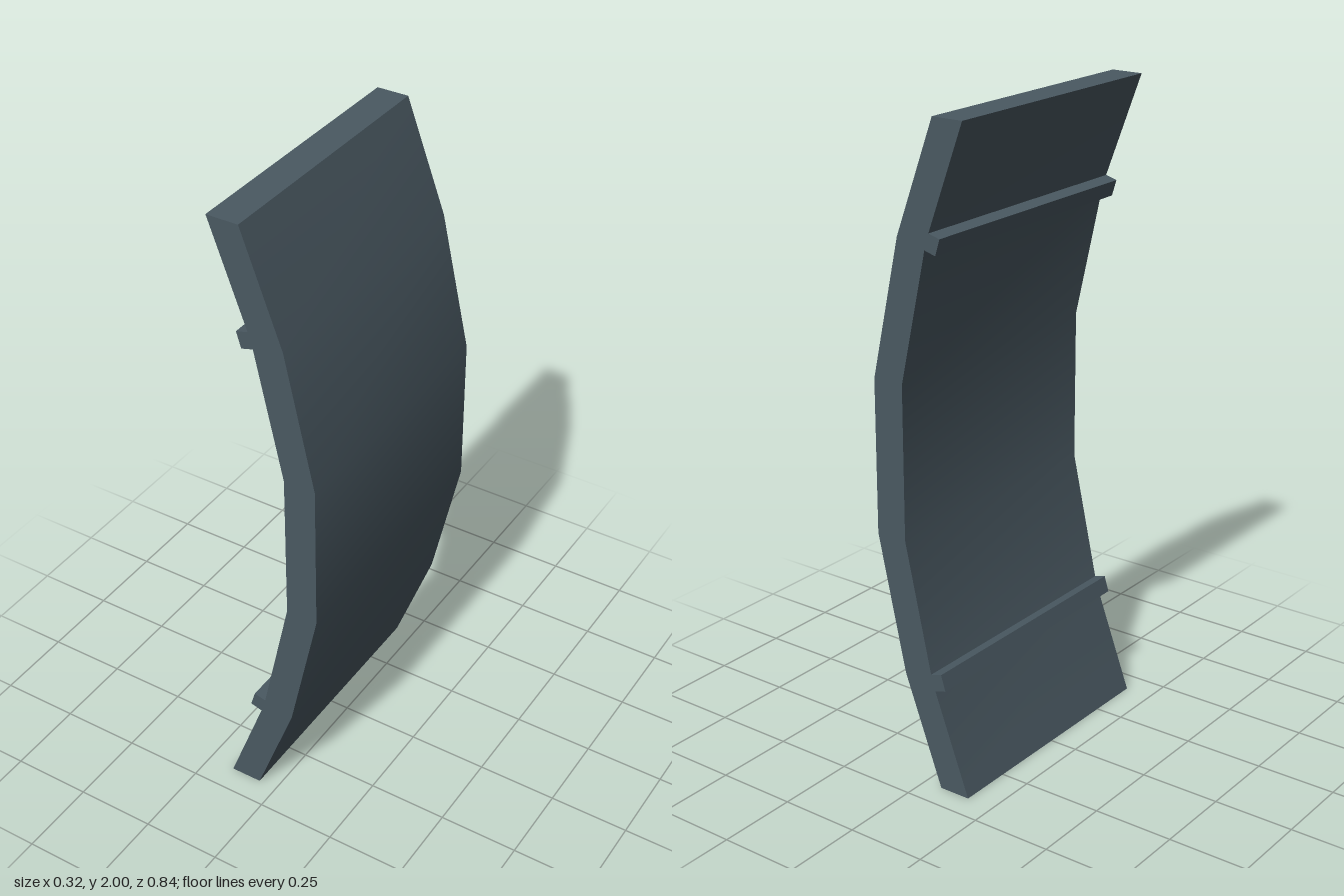
import * as THREE from 'three';
import { toCreasedNormals } from 'three/addons/utils/BufferGeometryUtils.js';

const WIDTH = 0.84;

// Extrude an x/y outline across the full panel width, centred on z
function extrudeOutline(points, crease) {
  const shape = new THREE.Shape(points.map(([x, y]) => new THREE.Vector2(x, y)));
  const geometry = new THREE.ExtrudeGeometry(shape, { depth: WIDTH, bevelEnabled: false });
  geometry.translate(0, 0, -WIDTH / 2);
  return toCreasedNormals(geometry, crease);
}

export function createModel() {
  const model = new THREE.Group();
  model.name = 'curvedPanel';
  const slate = new THREE.MeshStandardMaterial({ color: 0x4a5962 });
  slate.name = 'slate grey';

  const add = (name, points, crease) => {
    const mesh = new THREE.Mesh(extrudeOutline(points, crease), slate);
    mesh.name = name;
    model.add(mesh);
  };

  // Bowed plate: the outer curve is the inner curve shifted sideways
  const half = [[-0.161, 0], [-0.034, 0.342], [0.059, 0.765]];
  const inner = [...half, ...half.map(([x, y]) => [x, 2 - y]).reverse()];
  const outer = inner.map(([x, y]) => [x + 0.1, y]);
  add('plate', [...outer, ...inner.reverse()], 0.6);

  // Tilted ribs on the hollow side, mirrored top and bottom
  const rib = [[-0.081, 1.674], [-0.066, 1.625], [-0.015, 1.639], [-0.03, 1.688]];
  add('upperRib', rib, 0.3);
  add('lowerRib', rib.map(([x, y]) => [x, 2 - y]).reverse(), 0.3);

  return model;
}
